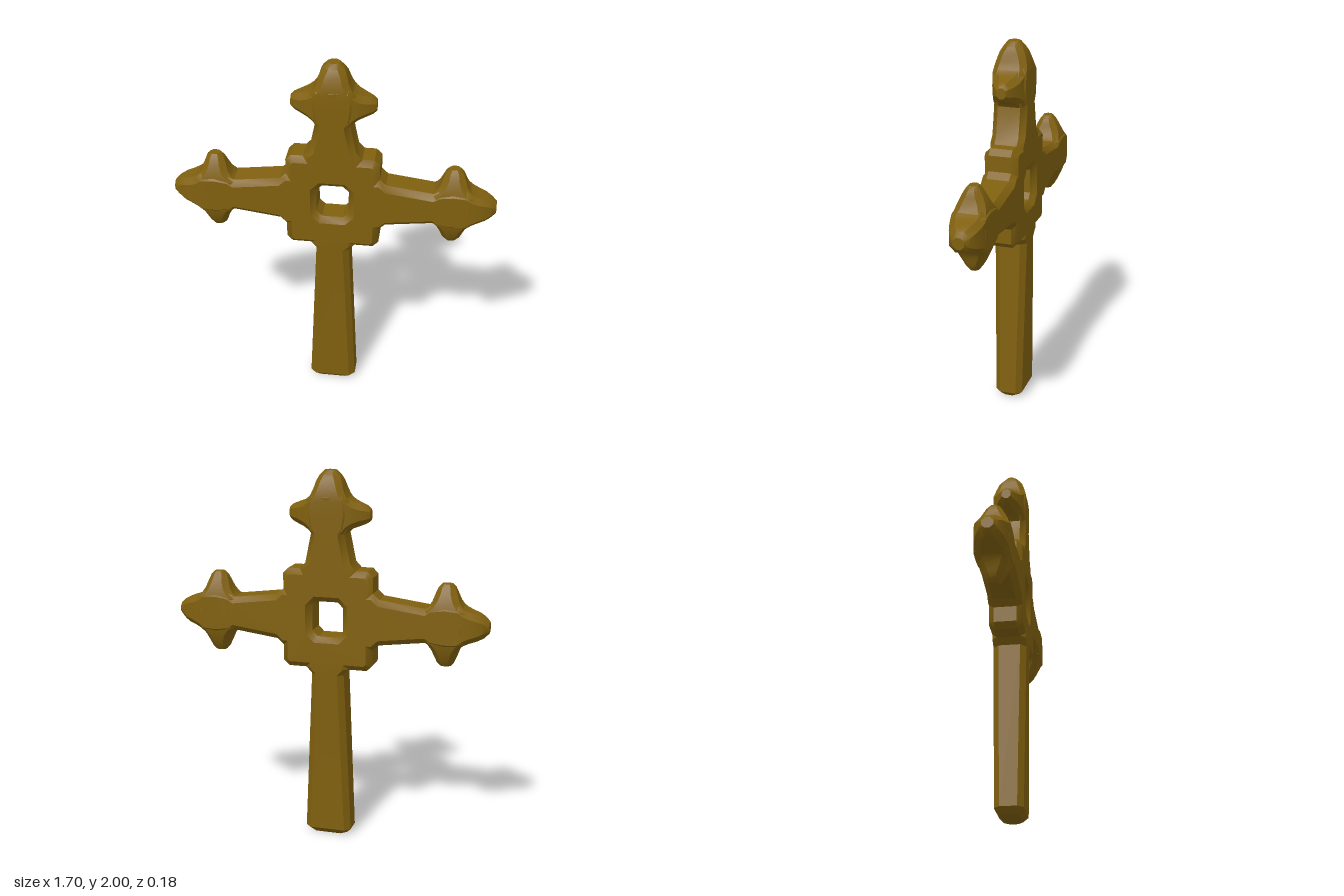
import * as THREE from 'three';
import { toCreasedNormals } from 'three/addons/utils/BufferGeometryUtils.js';

const CENTRE_Y = 1.22;
const BEVEL = 0.03;

// Loft of bevelled rectangles along +y; each station is [y, half width, half depth]
function loft(stations) {
  const pos = [], idx = [];
  for (const [y, w, d] of stations) {
    const b = Math.min(BEVEL, w * 0.6, d * 0.6);
    const ring = [[w, -d + b], [w, d - b], [w - b, d], [-w + b, d],
      [-w, d - b], [-w, -d + b], [-w + b, -d], [w - b, -d]];
    for (const [x, z] of ring) pos.push(x, y, z);
  }
  const last = (stations.length - 1) * 8;
  for (let i = 0; i < last; i += 8) {
    for (let j = 0; j < 8; j++) {
      const k = (j + 1) % 8;
      idx.push(i + j, i + 8 + j, i + k, i + k, i + 8 + j, i + 8 + k);
    }
  }
  for (let j = 1; j < 7; j++) {
    idx.push(0, j, j + 1, last, last + j + 1, last + j);
  }
  const g = new THREE.BufferGeometry();
  g.setAttribute('position', new THREE.Float32BufferAttribute(pos, 3));
  g.setIndex(idx);
  return toCreasedNormals(g, 0.6);
}

// Rectangle with cut corners
function cutRect(path, w, h, c) {
  path.setFromPoints([[w, -h + c], [w, h - c], [w - c, h], [-w + c, h],
    [-w, h - c], [-w, -h + c], [-w + c, -h], [w - c, -h]]
    .map(([x, y]) => new THREE.Vector2(x, y)));
  path.closePath();
  return path;
}

export function createModel() {
  const model = new THREE.Group();
  model.name = 'cross';
  const bronze = new THREE.MeshStandardMaterial({ color: 0x80600f });
  const add = (parent, name, geometry) => {
    const mesh = new THREE.Mesh(geometry, bronze);
    mesh.name = name;
    parent.add(mesh);
    return mesh;
  };

  // Square centre block with an open window
  const outline = cutRect(new THREE.Shape(), 0.245, 0.267, 0.03);
  outline.holes.push(cutRect(new THREE.Path(), 0.085, 0.095, 0.03));
  const block = new THREE.ExtrudeGeometry(outline, {
    depth: 0.12, bevelEnabled: true, bevelSegments: 1,
    bevelSize: BEVEL, bevelThickness: BEVEL, bevelOffset: -BEVEL,
  });
  block.translate(0, 0, -0.06);
  add(model, 'centreBlock', toCreasedNormals(block, 0.6)).position.y = CENTRE_Y;

  // Side lobes of a trefoil end, one loft from tip to tip
  const half = [[0, 0.12, 0.09], [0.08, 0.115, 0.086], [0.10, 0.09, 0.081],
    [0.13, 0.07, 0.072], [0.17, 0.056, 0.055], [0.2, 0.044, 0.038], [0.218, 0.028, 0.024]];
  const mirrored = half.slice(1).reverse().map(([y, w, d]) => [-y, w, d]);
  const lobes = loft([...mirrored, ...half]).rotateZ(-Math.PI / 2);

  // Upper and side arms: flared root, tapering shaft, trefoil end at distance reach
  function arm(name, root, reach, angle) {
    const group = new THREE.Group();
    group.name = name;
    group.position.y = CENTRE_Y;
    group.rotation.z = angle;
    add(group, 'shaft', loft([
      [0.17, 0.155, 0.09], [root, 0.155, 0.09], [root + 0.035, 0.122, 0.09],
      [reach - 0.1, 0.09, 0.09], [reach - 0.07, 0.11, 0.09], [reach, 0.12, 0.09],
      [reach + 0.07, 0.115, 0.09], [reach + 0.1, 0.093, 0.087], [reach + 0.13, 0.08, 0.08],
      [reach + 0.17, 0.068, 0.067], [reach + 0.2, 0.054, 0.05], [reach + 0.225, 0.03, 0.03],
    ]));
    add(group, 'lobes', lobes).position.y = reach;
    model.add(group);
  }
  arm('topArm', 0.265, 0.555, 0);
  arm('leftArm', 0.243, 0.625, -Math.PI / 2);
  arm('rightArm', 0.243, 0.625, Math.PI / 2);

  // Long stem widening towards the foot
  const stem = add(model, 'stem', loft([
    [0.17, 0.12, 0.09], [0.265, 0.12, 0.09], [0.3, 0.088, 0.088],
    [1.19, 0.127, 0.075], [CENTRE_Y, 0.1, 0.05],
  ]));
  stem.position.y = CENTRE_Y;
  stem.rotation.z = Math.PI;
  return model;
}
